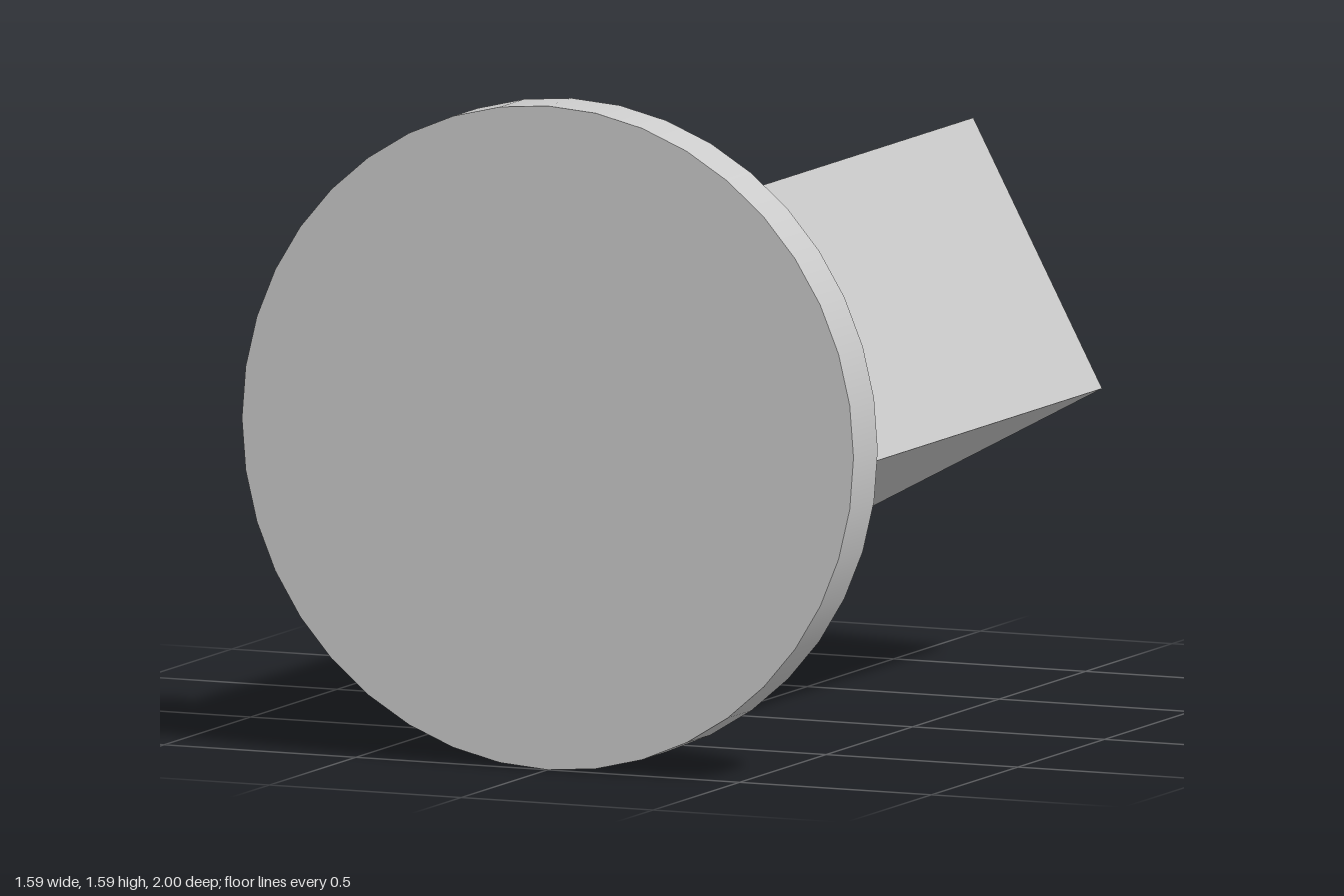
import * as THREE from 'three';

export function createModel() {
  const model = new THREE.Group();
  const grey = new THREE.MeshStandardMaterial({ color: 0xcccccc });
  grey.name = 'light grey';
  const axisY = 0.797;

  // Adds a part on the shared axis, centred between two z positions
  const add = (name, geometry, zBack, zFront) => {
    const mesh = new THREE.Mesh(geometry, grey);
    mesh.name = name;
    mesh.position.set(0, axisY, (zBack + zFront) / 2);
    model.add(mesh);
    return mesh;
  };
  const disc = (radius, depth, sides) =>
    new THREE.CylinderGeometry(radius, radius, depth, sides).rotateX(Math.PI / 2);

  // Large round plate at the front
  add('frontDisc', disc(0.797, 0.14, 40), 0.86, 1);

  // Short shaft bridging the gap between plate and body
  add('shaft', disc(0.105, 0.024, 32), 0.836, 0.86);

  // Long rectangular body, turned about the shaft axis
  const body = add('body', new THREE.BoxGeometry(0.85, 0.714, 1.836), -1, 0.836);
  body.rotation.z = THREE.MathUtils.degToRad(28.05);

  return model;
}
